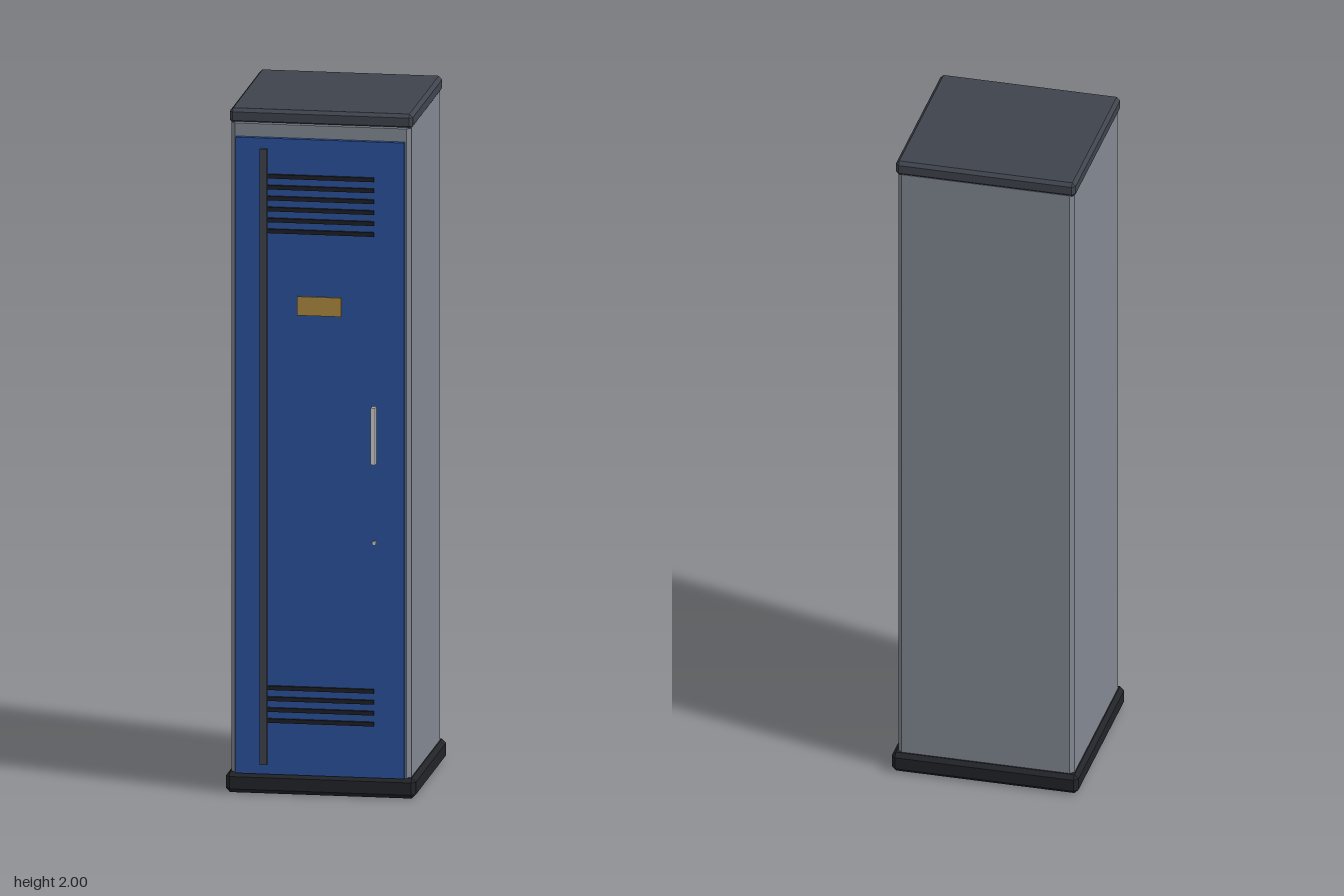
import * as THREE from 'three';
import { ConvexGeometry } from 'three/addons/geometries/ConvexGeometry.js';

const material = (color) => new THREE.MeshStandardMaterial({ color });

// Box with every edge and corner cut flat by c
function chamferedBox(w, h, d, c) {
  const points = [];
  for (const x of [-w / 2, w / 2]) for (const y of [-h / 2, h / 2]) for (const z of [-d / 2, d / 2]) {
    const ix = x - Math.sign(x) * c, iy = y - Math.sign(y) * c, iz = z - Math.sign(z) * c;
    points.push(
      new THREE.Vector3(x, iy, iz),
      new THREE.Vector3(ix, y, iz),
      new THREE.Vector3(ix, iy, z),
    );
  }
  return new ConvexGeometry(points);
}

export function createModel() {
  const locker = new THREE.Group();
  locker.name = 'locker';

  const steel = material(0x838993);
  const trim = material(0x3f444d);
  const rubber = material(0x222428);
  const slot = material(0x1c1f25);
  const paint = material(0x29519a);
  const brass = material(0xab8840);
  const chrome = material(0xcccccc);

  // Place a part by its extents on each axis, optionally chamfered
  function part(name, mat, [x0, x1], [y0, y1], [z0, z1], chamfer = 0, parent = locker) {
    const size = [x1 - x0, y1 - y0, z1 - z0];
    const geometry = chamfer ? chamferedBox(...size, chamfer) : new THREE.BoxGeometry(...size);
    const mesh = new THREE.Mesh(geometry, mat);
    mesh.position.set((x0 + x1) / 2, (y0 + y1) / 2, (z0 + z1) / 2);
    mesh.name = name;
    parent.add(mesh);
    return mesh;
  }

  // Cabinet shell
  part('body', steel, [-0.26, 0.26], [0.02, 1.97], [-0.275, 0.25], 0.012);
  part('base', rubber, [-0.275, 0.275], [0, 0.06], [-0.291, 0.26], 0.012);
  part('topCap', trim, [-0.265, 0.265], [1.955, 2], [-0.281, 0.25], 0.01);

  // Door
  const door = new THREE.Group();
  door.name = 'door';
  locker.add(door);
  part('doorPanel', paint, [-0.244, 0.244], [0.06, 1.92], [0.245, 0.265], 0, door);
  part('hingeBar', trim, [-0.172, -0.151], [0.09, 1.89], [0.26, 0.281], 0, door);

  // Vent slats: six near the top, four near the bottom
  for (const [name, top, count] of [['upperVent', 1.81, 6], ['lowerVent', 0.314, 4]]) {
    const vent = new THREE.Group();
    vent.name = name;
    door.add(vent);
    for (let i = 0; i < count; i++) {
      const y = top - i * 0.032;
      part('slat', slot, [-0.157, 0.157], [y - 0.006, y + 0.006], [0.26, 0.273], 0, vent);
    }
  }

  // Number plate and handle
  part('numberPlate', brass, [-0.065, 0.062], [1.406, 1.461], [0.26, 0.27], 0, door);
  part('handle', chrome, [0.151, 0.164], [0.98, 1.147], [0.26, 0.289], 0, door);

  // Keyhole barrel
  const lock = new THREE.Mesh(new THREE.CylinderGeometry(0.006, 0.006, 0.015, 12), chrome);
  lock.rotation.x = Math.PI / 2;
  lock.position.set(0.158, 0.748, 0.2675);
  lock.name = 'lock';
  door.add(lock);

  return locker;
}
